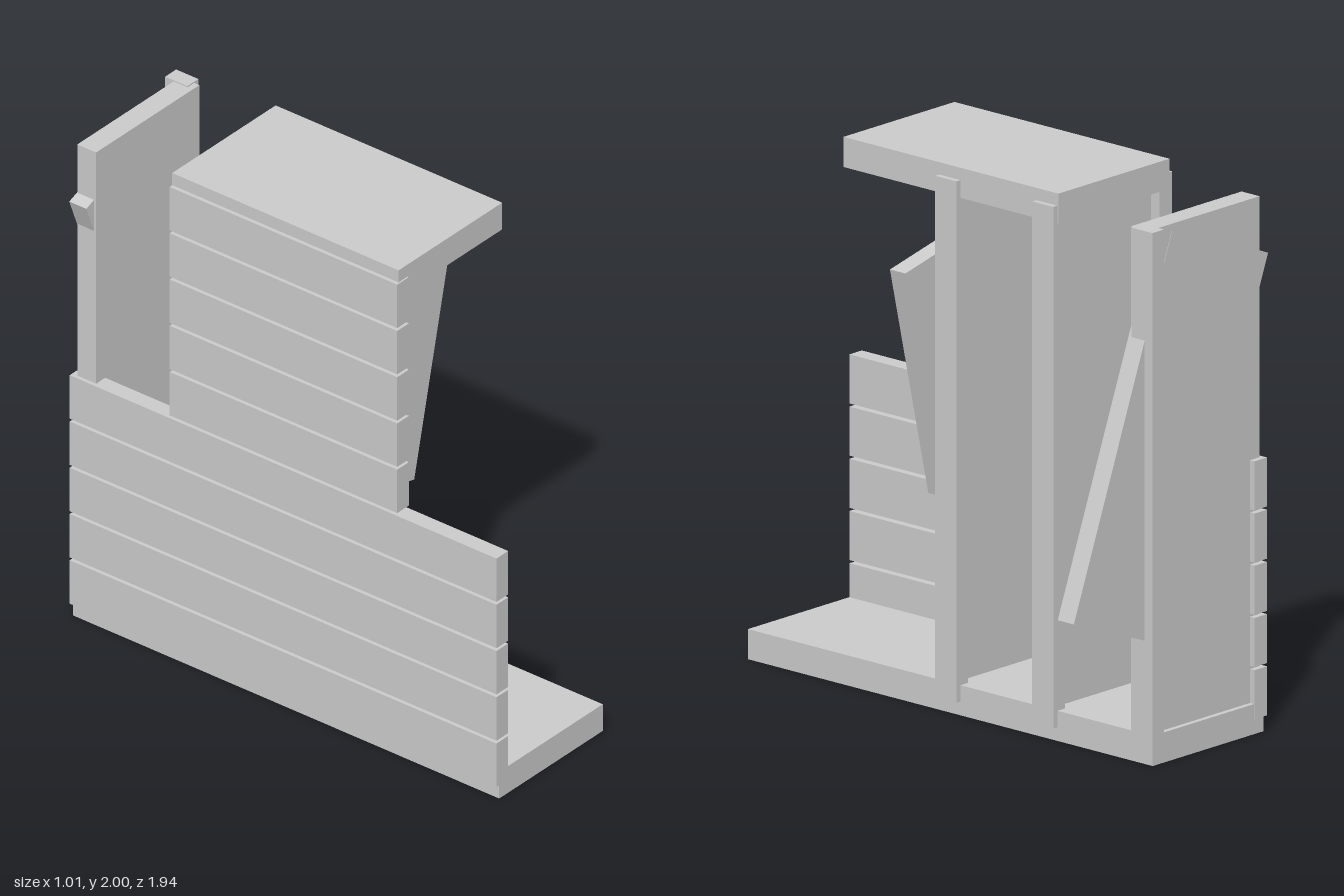
import * as THREE from 'three';

const material = new THREE.MeshStandardMaterial({ color: 0xcccccc, flatShading: true });

// Box from its extents: [min, max] along each axis
function slab(name, [x0, x1], [y0, y1], [z0, z1]) {
  const mesh = new THREE.Mesh(new THREE.BoxGeometry(x1 - x0, y1 - y0, z1 - z0), material);
  mesh.position.set((x0 + x1) / 2, (y0 + y1) / 2, (z0 + z1) / 2);
  mesh.name = name;
  return mesh;
}

// Loose board leaning in the x-y plane
function leaningBoard(name, width, height, depth, position, degrees) {
  const mesh = new THREE.Mesh(new THREE.BoxGeometry(width, height, depth), material);
  mesh.position.set(...position);
  mesh.rotation.z = THREE.MathUtils.degToRad(degrees);
  mesh.name = name;
  return mesh;
}

export function createModel() {
  const model = new THREE.Group();
  model.name = 'brokenShelf';

  // Floor and roof slabs
  const depthX = [-0.46, 0.115];
  model.add(slab('base', depthX, [0, 0.11], [-0.95, 0.97]));
  model.add(slab('top', depthX, [1.89, 2], [-0.503, 0.517]));

  // Horizontal planks of the wall: five long below, five short above
  const planks = new THREE.Group();
  planks.name = 'wallPlanks';
  for (let i = 0; i < 10; i++) {
    const y = 0.055 + i * 0.1907;
    const z = i < 5 ? [-0.952, 0.97] : [-0.502, 0.523];
    planks.add(slab('plank', [-0.475, -0.41], [y, y + 0.179], z));
  }
  model.add(planks);

  // Upright panels, each with a post on its open edge
  for (const z of [0.085, -0.375, -0.845]) {
    model.add(slab('uprightPanel', [-0.46, 0.113], [0.05, 1.95], [z - 0.085, z]));
    model.add(slab('post', [0.075, 0.136], [0.05, 1.955], [z - 0.123, z - 0.023]));
  }

  // Fallen boards
  model.add(leaningBoard('frontLooseBoard', 0.488, 0.883, 0.073, [-0.088, 1.24, 0.137], -13));
  model.add(leaningBoard('backLooseBoard', 0.532, 1.42, 0.077, [0, 1.167, -0.893], 21));

  return model;
}
